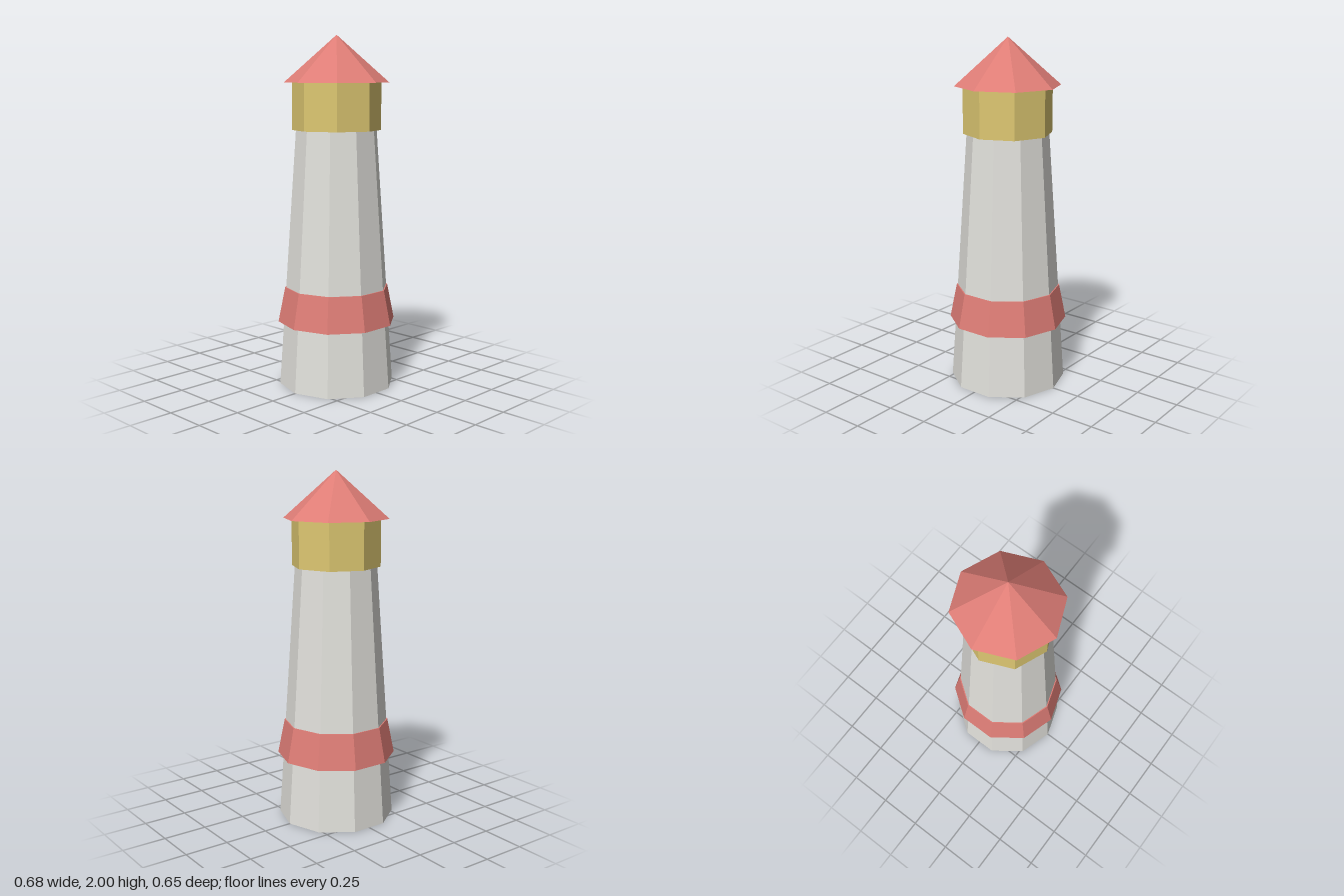
import * as THREE from 'three';

export function createModel() {
  const model = new THREE.Group();
  model.name = 'lighthouse';

  const material = (name, color) => {
    const m = new THREE.MeshStandardMaterial({ color, flatShading: true });
    m.name = name;
    return m;
  };
  const stone = material('pale stone', 0xe2e1dc);
  const red = material('soft red', 0xde7d76);
  const yellow = material('lamp yellow', 0xdec872);

  // Faceted section between two heights, with a corner on the x axis
  const section = (name, mat, sides, y0, y1, r0, r1) => {
    const height = y1 - y0;
    const geometry = r1 > 0
      ? new THREE.CylinderGeometry(r1, r0, height, sides)
      : new THREE.ConeGeometry(r0, height, sides);
    geometry.rotateY(Math.PI / 2);
    const mesh = new THREE.Mesh(geometry, mat);
    mesh.name = name;
    mesh.position.y = y0 + height / 2;
    model.add(mesh);
  };

  // Ten-sided tapered tower with its flared band
  section('tower', stone, 10, 0, 1.47, 0.333, 0.232);
  section('band', red, 10, 0.37, 0.57, 0.34, 0.3);

  // Eight-sided lamp room and pointed roof
  section('lampRoom', yellow, 8, 1.47, 1.735, 0.252, 0.252);
  section('roof', red, 8, 1.735, 2, 0.299, 0);

  return model;
}
